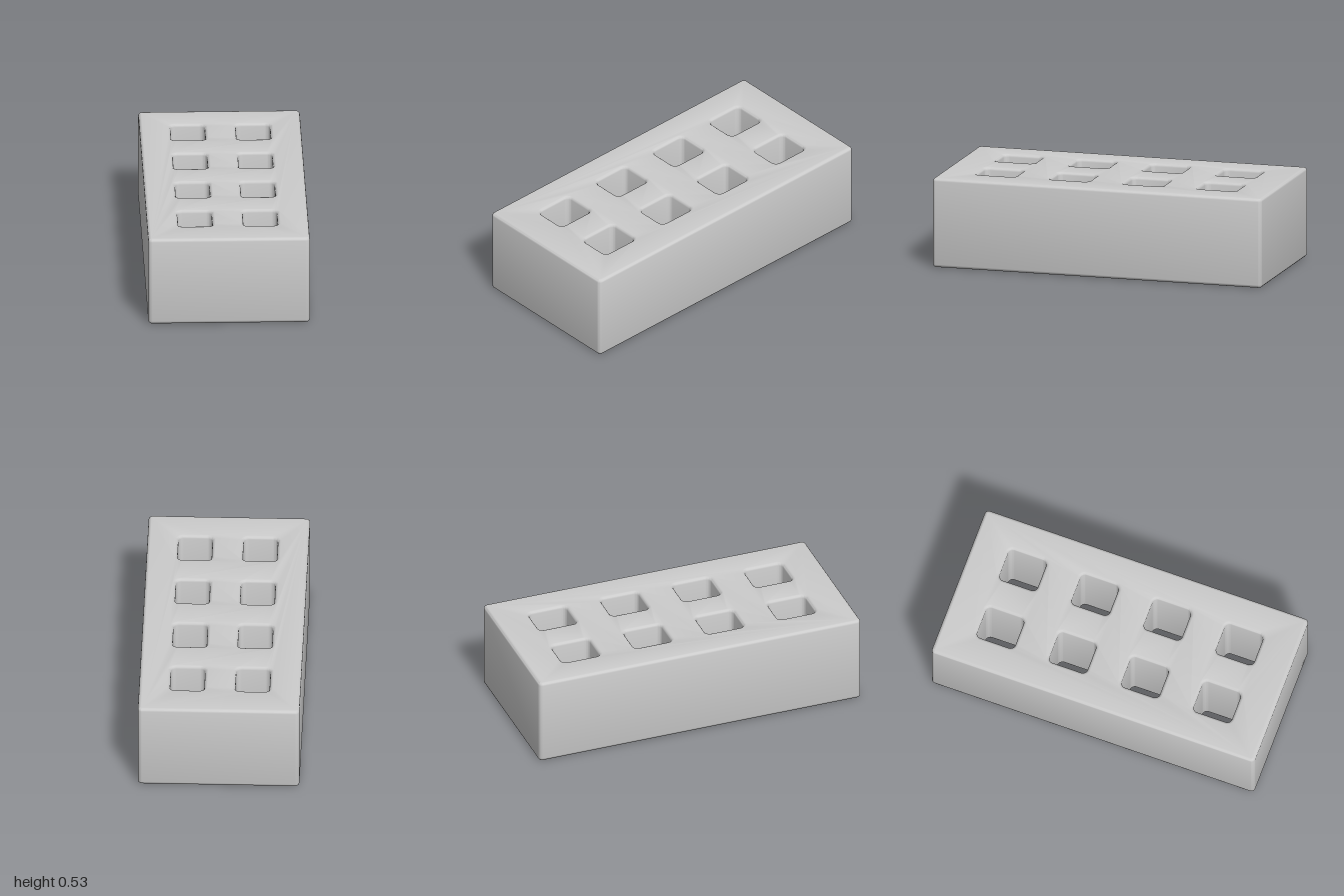
import * as THREE from 'three';
import { toCreasedNormals } from 'three/addons/utils/BufferGeometryUtils.js';

const WIDTH = 0.94, HEIGHT = 0.53, LENGTH = 2, BEVEL = 0.018;

// Traces a rounded rectangle centred on (cx, cy)
function roundedRect(path, cx, cy, w, h, r) {
  const x = w / 2 - r, y = h / 2 - r;
  path.moveTo(cx + x + r, cy - y);
  path.absarc(cx + x, cy + y, r, 0, Math.PI / 2);
  path.absarc(cx - x, cy + y, r, Math.PI / 2, Math.PI);
  path.absarc(cx - x, cy - y, r, Math.PI, Math.PI * 1.5);
  path.absarc(cx + x, cy - y, r, Math.PI * 1.5, Math.PI * 2);
  return path;
}

export function createModel() {
  const group = new THREE.Group();
  group.name = 'perforatedBrick';

  // Block outline with two columns of four through holes
  const outline = roundedRect(new THREE.Shape(), 0, 0, WIDTH, LENGTH, 0.025);
  for (const x of [-0.19, 0.19]) {
    for (let row = 0; row < 4; row++) {
      outline.holes.push(roundedRect(new THREE.Path(), x, (row - 1.5) * 0.447, 0.198, 0.235, 0.03));
    }
  }

  // Rounded rims, inset so the walls keep the outline's full size
  const geometry = new THREE.ExtrudeGeometry(outline, {
    depth: HEIGHT - 2 * BEVEL,
    bevelThickness: BEVEL,
    bevelSize: BEVEL,
    bevelOffset: -BEVEL,
    bevelSegments: 3,
    curveSegments: 4,
  });
  geometry.translate(0, 0, BEVEL);
  geometry.rotateX(-Math.PI / 2);

  const brick = new THREE.Mesh(
    toCreasedNormals(geometry, 0.7),
    new THREE.MeshStandardMaterial({ color: 0xcccccc })
  );
  brick.name = 'brickBody';
  group.add(brick);
  return group;
}
